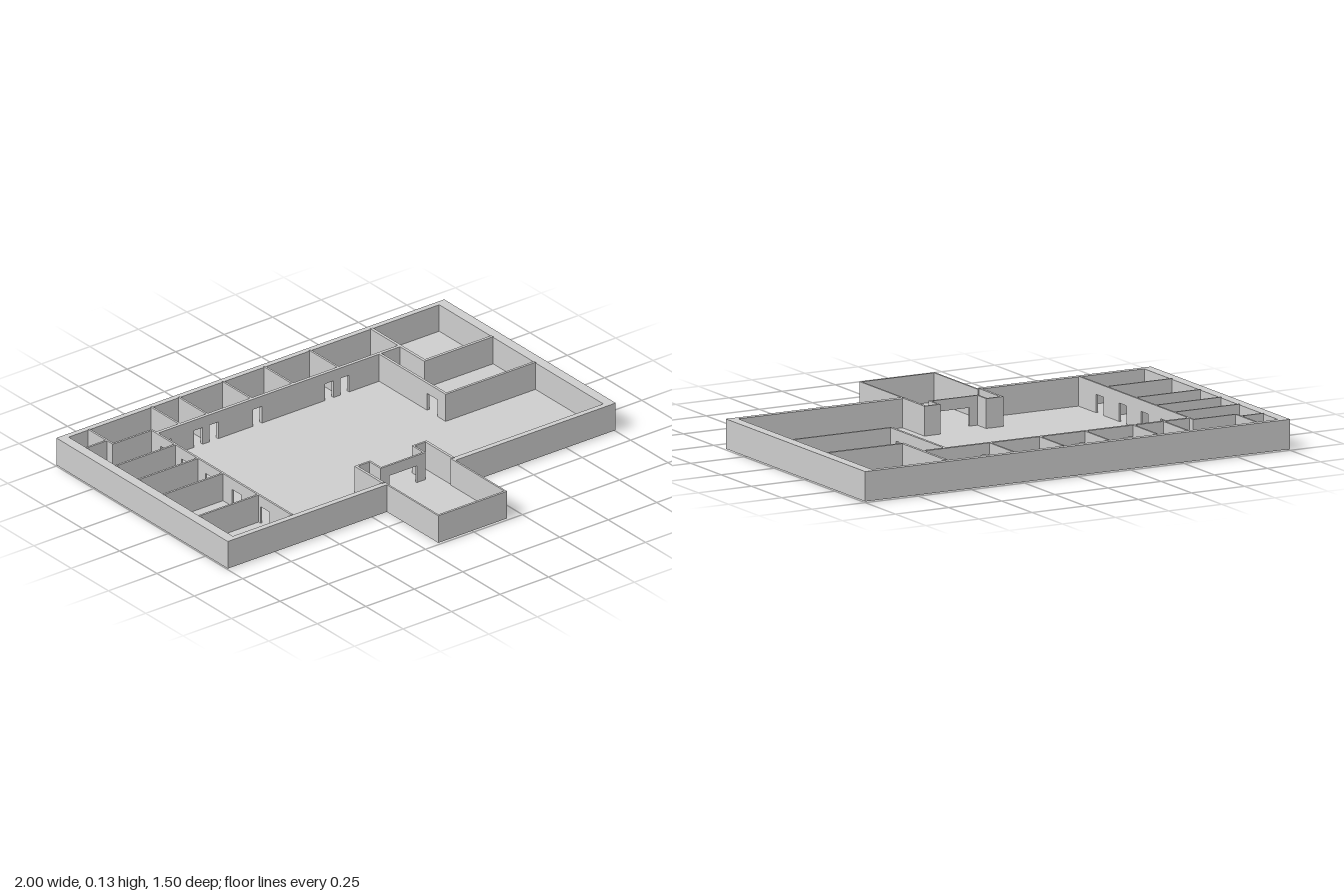
import * as THREE from 'three';

const BASE = 0.005;       // underside of the walls
const TOP = 0.133;        // top of the partitions
const DOOR_TOP = 0.085;

export function createModel() {
  const root = new THREE.Group();
  root.name = 'floorPlan';
  const grey = new THREE.MeshStandardMaterial({ color: 0xcccccc });
  grey.name = 'plainGrey';

  // Box given by its limits on each axis
  function block(name, x0, x1, y0, y1, z0, z1) {
    const mesh = new THREE.Mesh(new THREE.BoxGeometry(x1 - x0, y1 - y0, z1 - z0), grey);
    mesh.position.set((x0 + x1) / 2, (y0 + y1) / 2, (z0 + z1) / 2);
    mesh.name = name;
    root.add(mesh);
  }

  // Thin partition along an axis from a to b, centred on "at"; doors are [centre, width]
  function partition(name, axis, at, a, b, doors = [], t = 0.009) {
    const s = new THREE.Shape();
    s.moveTo(a, BASE);
    for (const [c, w] of [...doors].sort((p, q) => p[0] - q[0])) {
      s.lineTo(c - w / 2, BASE);
      s.lineTo(c - w / 2, DOOR_TOP);
      s.lineTo(c + w / 2, DOOR_TOP);
      s.lineTo(c + w / 2, BASE);
    }
    s.lineTo(b, BASE);
    s.lineTo(b, TOP);
    s.lineTo(a, TOP);
    const geo = new THREE.ExtrudeGeometry(s, { depth: t, bevelEnabled: false });
    geo.translate(0, 0, -t / 2);
    const mesh = new THREE.Mesh(geo, grey);
    if (axis === 'x') mesh.position.z = at;
    else {
      mesh.rotation.y = -Math.PI / 2;
      mesh.position.x = at;
    }
    mesh.name = name;
    root.add(mesh);
  }

  // Floors
  block('hallFloor', -0.958, 0.958, 0, 0.008, -0.728, 0.376);
  block('entranceFloor', -0.172, 0.168, 0.003, 0.008, 0.376, 0.74);

  // Outer walls, with a gap for the entrance
  const H = 0.13;
  block('backWall', -1, 1, BASE, H, -0.75, -0.725);
  block('rightWall', -1, -0.955, BASE, H, -0.725, 0.375);
  block('leftWall', 0.955, 1, BASE, H, -0.725, 0.375);
  block('frontWallRight', -1, -0.18, BASE, H, 0.375, 0.4);
  block('frontWallLeft', 0.175, 1, BASE, H, 0.375, 0.4);

  // Projecting entrance
  block('entranceFront', -0.18, 0.175, BASE, H, 0.735, 0.745);
  block('entranceSideRight', -0.18, -0.172, BASE, H, 0.375, 0.735);
  block('entranceSideLeft', 0.167, 0.175, BASE, H, 0.375, 0.735);

  // Entrance returns inside the hall and the recessed doorway
  for (const s of [-1, 1]) {
    partition('entranceReturn', 'z', s * 0.18 - 0.003, 0.195, 0.38, [], 0.012);
    partition('entranceNib', 'x', 0.198, s < 0 ? -0.189 : 0.108, s < 0 ? -0.112 : 0.183);
    partition('recessSide', 'z', s * 0.112, 0.194, 0.275);
  }
  partition('recessDoorway', 'x', 0.271, -0.116, 0.116, [[0, 0.14]]);

  // Right wing: corridor wall and room dividers
  partition('rightCorridorWall', 'z', -0.65, -0.569, 0.377,
    [-0.47, -0.33, -0.17, 0.01, 0.2].map((z) => [z, 0.06]));
  for (const z of [-0.405, -0.253, -0.086, 0.152]) partition('rightRoomDivider', 'x', z, -0.957, -0.65);

  // Back right corner room
  partition('cornerRoomFront', 'x', -0.604, -0.957, -0.848);
  partition('cornerRoomSide', 'z', -0.85, -0.727, -0.562);
  partition('cornerPassage', 'x', -0.565, -0.85, -0.646);

  // Back row of rooms
  partition('backCorridorWall', 'x', -0.533, -0.65, 0.608,
    [-0.6, -0.44, -0.36, -0.135, 0.235, 0.315].map((x) => [x, 0.045]), 0.015);
  for (const x of [-0.527, -0.385, -0.158, 0.056, 0.291]) {
    partition('backRoomDivider', 'z', x, -0.727, -0.533);
  }

  // Left rooms
  partition('largeRoomSide', 'z', 0.606, -0.727, -0.365, [], 0.013);
  partition('largeRoomFront', 'x', -0.37, 0.6, 0.957, [], 0.013);
  partition('leftRoomSide', 'z', 0.498, -0.533, -0.08, [[-0.17, 0.07]], 0.012);
  partition('leftRoomFront', 'x', -0.085, 0.492, 0.957, [], 0.011);

  return root;
}
